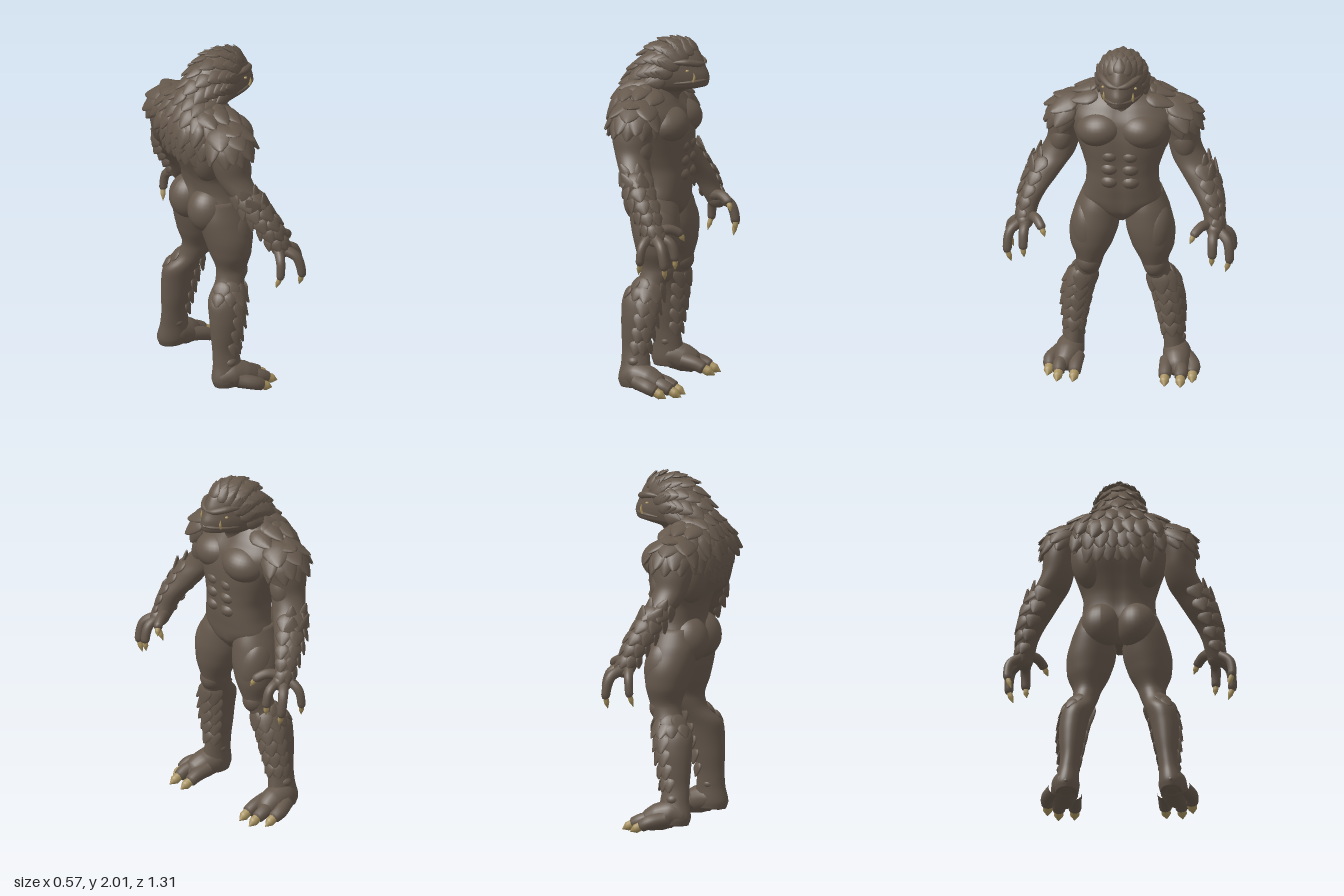
import * as THREE from 'three';
import { mergeVertices, mergeGeometries } from 'three/addons/utils/BufferGeometryUtils.js';

const V = (x, y, z) => new THREE.Vector3(x, y, z);

// Smooth body part from horizontal rings, top to bottom: [y, centre x, centre z, radius x, radius z]
function loft(rows, shape = (a) => [Math.cos(a), Math.sin(a)], n = 40) {
  const mid = new THREE.CatmullRomCurve3(rows.map((r) => V(r[1], r[0], r[2])));
  const rad = new THREE.CatmullRomCurve3(rows.map((r) => V(r[3], r[4], 0)));
  const steps = (rows.length - 1) * 5, pos = [], idx = [];
  for (let i = 0; i <= steps; i++) {
    const c = mid.getPoint(i / steps), r = rad.getPoint(i / steps);
    for (let j = 0; j < n; j++) {
      const [u, w] = shape((j / n) * Math.PI * 2);
      pos.push(c.x + u * r.x, Math.max(0, c.y), c.z + w * r.y);
    }
  }
  const top = pos.length / 3, a = rows[0], b = rows[rows.length - 1];
  pos.push(a[1], a[0], a[2], b[1], b[0], b[2]);
  for (let j = 0; j < n; j++) {
    const k = (j + 1) % n;
    for (let i = 0; i < steps; i++) {
      const p = i * n, q = p + n;
      idx.push(p + j, p + k, q + j, p + k, q + k, q + j);
    }
    idx.push(top, k, j, top + 1, steps * n + j, steps * n + k);
  }
  const g = new THREE.BufferGeometry();
  g.setAttribute('position', new THREE.Float32BufferAttribute(pos, 3));
  g.setIndex(idx);
  g.computeVertexNormals();
  return g;
}

// Tapering tube through points [x, y, z, radius]
function taper(pts, seg = 16, n = 12) {
  const curve = new THREE.CatmullRomCurve3(pts.map((p) => V(p[0], p[1], p[2])));
  const g = new THREE.TubeGeometry(curve, seg, 1, n);
  const p = g.attributes.position, v = V();
  for (let i = 0; i < p.count; i++) {
    const u = Math.floor(i / (n + 1)) / seg, c = curve.getPointAt(u);
    const t = curve.getUtoTmapping(u) * (pts.length - 1), k = Math.min(pts.length - 2, Math.floor(t));
    v.fromBufferAttribute(p, i).sub(c).multiplyScalar(THREE.MathUtils.lerp(pts[k][3], pts[k + 1][3], t - k)).add(c);
    p.setXYZ(i, v.x, Math.max(0, v.y), v.z);
  }
  g.deleteAttribute('uv');
  g.deleteAttribute('normal');
  const m = mergeVertices(g, 1e-5);
  m.computeVertexNormals();
  return m;
}

function blob(x, y, z, rx, ry, rz, tilt = 0) {
  const g = new THREE.SphereGeometry(1, 28, 18).scale(rx, ry, rz).rotateX(tilt).translate(x, y, z);
  g.deleteAttribute('uv');
  return g;
}

// Shield-shaped scale: rounded root at +y, pointed tip at -y, ridge along the middle
function shield() {
  const g = new THREE.SphereGeometry(1, 12, 8);
  g.deleteAttribute('uv');
  const p = g.attributes.position;
  for (let i = 0; i < p.count; i++) {
    const x = p.getX(i), y = p.getY(i), z = p.getZ(i), k = y < 0 ? 1 + y * 0.45 : 1;
    p.setXYZ(i, x * k, y < 0 ? y * 1.3 : y, z * k + 0.35 * (1 - Math.abs(x)) * (z > 0 ? 1 : 0));
  }
  g.computeVertexNormals();
  return g;
}

function mirrored(geo) {
  const g = geo.clone().scale(1, 1, -1), ix = g.index;
  for (let i = 0; i < ix.count; i += 3) {
    const t = ix.getX(i);
    ix.setX(i, ix.getX(i + 1));
    ix.setX(i + 1, t);
  }
  g.computeVertexNormals();
  return g;
}

export function createModel() {
  const hide = new THREE.MeshStandardMaterial({ color: 0x65584c });
  hide.name = 'brown hide';
  const horn = new THREE.MeshStandardMaterial({ color: 0xa8925f });
  horn.name = 'tan horn';
  const root = new THREE.Group();
  root.name = 'scaledBiped';
  const add = (name, geo, mat = hide) => {
    const m = new THREE.Mesh(geo, mat);
    m.name = name;
    root.add(m);
    return m;
  };
  const pair = (name, geo, mat) => {
    add('right' + name, mirrored(geo), mat);
    return add('left' + name, geo, mat);
  };

  // Torso with grooves along spine and chest, as [y, back, front, half width]
  const stack = (rows) => rows.map(([y, b, f, w]) => [y, (b + f) / 2, 0, (f - b) / 2, w]);
  const torso = add('torso', loft(stack([
    [1.77, -0.17, 0.04, 0.09], [1.72, -0.205, 0.07, 0.19], [1.66, -0.235, 0.11, 0.27], [1.58, -0.245, 0.16, 0.3],
    [1.5, -0.235, 0.18, 0.285], [1.42, -0.21, 0.185, 0.255], [1.34, -0.17, 0.18, 0.225], [1.26, -0.135, 0.178, 0.203],
    [1.18, -0.12, 0.175, 0.208], [1.1, -0.13, 0.165, 0.225], [1.03, -0.1, 0.15, 0.15], [0.965, -0.04, 0.1, 0.025],
  ]), (a) => {
    const c = Math.cos(a), s = Math.sin(a), k = 1 - 0.07 * Math.exp(-s * s * 60);
    return [Math.sign(c) * Math.abs(c) ** 0.85 * k, Math.sign(s) * Math.abs(s) ** 0.9];
  }, 56));

  // Head and thick neck, narrowing to a blunt muzzle
  const head = add('head', loft(stack([
    [1.985, 0.05, 0.13, 0.015], [1.968, -0.01, 0.185, 0.06], [1.935, -0.06, 0.227, 0.095], [1.89, -0.1, 0.252, 0.12],
    [1.845, -0.135, 0.268, 0.132], [1.805, -0.165, 0.286, 0.136], [1.77, -0.185, 0.289, 0.133], [1.738, -0.2, 0.278, 0.125],
    [1.722, -0.207, 0.23, 0.12], [1.7, -0.212, 0.14, 0.125], [1.66, -0.22, 0.11, 0.14], [1.6, -0.23, 0.11, 0.17],
  ]), (a) => [Math.cos(a), Math.sin(a) * (1 - 0.3 * Math.max(0, Math.cos(a)))], 48));

  // Arms and legs
  const arm = pair('Arm', loft([
    [1.66, -0.05, 0.25, 0.08, 0.07], [1.62, -0.05, 0.285, 0.11, 0.1], [1.56, -0.05, 0.315, 0.125, 0.097],
    [1.48, -0.055, 0.335, 0.115, 0.092], [1.4, -0.05, 0.345, 0.1, 0.092], [1.32, -0.025, 0.38, 0.09, 0.1],
    [1.26, 0.01, 0.425, 0.085, 0.1], [1.19, 0.04, 0.465, 0.085, 0.09], [1.12, 0.08, 0.5, 0.078, 0.072],
    [1.05, 0.11, 0.52, 0.065, 0.056], [0.99, 0.135, 0.53, 0.058, 0.05], [0.94, 0.15, 0.545, 0.05, 0.045], [0.92, 0.155, 0.55, 0.03, 0.03],
  ]));
  const leg = pair('Leg', loft([
    [1.14, 0.0, 0.13, 0.11, 0.09], [1.03, 0.01, 0.14, 0.142, 0.125], [0.92, 0.028, 0.158, 0.138, 0.138],
    [0.81, 0.04, 0.174, 0.12, 0.12], [0.71, 0.042, 0.183, 0.09, 0.077], [0.64, 0.022, 0.2, 0.086, 0.073],
    [0.55, -0.028, 0.24, 0.108, 0.083], [0.45, -0.038, 0.26, 0.103, 0.078], [0.35, -0.048, 0.268, 0.09, 0.068],
    [0.25, -0.053, 0.275, 0.08, 0.056], [0.17, -0.05, 0.285, 0.085, 0.06], [0.09, -0.05, 0.295, 0.098, 0.07], [0.045, -0.05, 0.295, 0.085, 0.06],
  ]));

  // Muscle masses, mostly sunk into the body
  [['Pectoral', 0.072, 1.525, 0.118, 0.132, 0.108, 0.14, 0.15], ['Glute', -0.055, 1.07, 0.1, 0.125, 0.135, 0.115, 0],
    ['Lat', -0.1, 1.46, 0.18, 0.1, 0.17, 0.09, 0.15], ['Biceps', 0.0, 1.42, 0.345, 0.065, 0.1, 0.065, -0.25],
    ['OuterThigh', 0.05, 0.89, 0.19, 0.115, 0.18, 0.098, 0.1], ['Kneecap', 0.07, 0.69, 0.188, 0.065, 0.07, 0.065, 0],
    ['Ankle', -0.05, 0.19, 0.285, 0.05, 0.04, 0.066, 0],
    ['Hand', 0.155, 0.965, 0.54, 0.06, 0.055, 0.05, 0]].forEach(([name, ...b]) => pair(name, blob(...b)));
  [1.39, 1.31, 1.23].forEach((y) => pair('Abdominal', blob(0.1, y, 0.058, 0.09, 0.055, 0.07)));

  // Fingers and toes with claws: [base, knuckle, tip], radius, claw point, claw girth
  const digit = (name, pts, r, end, girth) => {
    const last = pts[2], toward = (k) => last.map((v, i) => v + (end[i] - v) * k);
    pair(name, taper([...pts.map((p, i) => [...p, r * (1.1 - i * 0.1)]), [...toward(0.25), 0.004]]));
    pair(name + 'Claw', taper([[...last, r * girth], [...toward(0.5), r * girth], [...end, 0.001]], 8, 10), horn);
  };
  digit('Thumb', [[0.14, 0.99, 0.51], [0.21, 1.0, 0.465], [0.262, 0.97, 0.43]], 0.028, [0.28, 0.925, 0.41], 0.55);
  digit('InnerFinger', [[0.16, 0.97, 0.53], [0.24, 0.935, 0.535], [0.268, 0.845, 0.535]], 0.028, [0.265, 0.785, 0.53], 0.55);
  digit('MiddleFinger', [[0.16, 0.96, 0.56], [0.21, 0.92, 0.615], [0.235, 0.81, 0.628]], 0.028, [0.23, 0.74, 0.605], 0.55);
  digit('OuterFinger', [[0.12, 0.97, 0.56], [0.1, 0.92, 0.62], [0.09, 0.83, 0.632]], 0.026, [0.075, 0.76, 0.61], 0.55);

  // Feet: sole, three spread toes and claws
  pair('Foot', taper([[-0.15, 0.08, 0.295, 0.004], [-0.12, 0.085, 0.295, 0.05], [-0.04, 0.105, 0.3, 0.08], [0.04, 0.085, 0.31, 0.078],
    [0.1, 0.062, 0.32, 0.06], [0.15, 0.045, 0.325, 0.004]], 24, 20));
  [['InnerToe', 0.255, 0.235], ['MiddleToe', 0.345, 0.24], ['SmallToe', 0.405, 0.17]].forEach(([name, z, x]) =>
    digit(name, [[x - 0.19, 0.085, 0.3 + (z - 0.32) * 0.7], [x - 0.11, 0.066, z], [x - 0.065, 0.045, z]], 0.039, [x + 0.002, 0.01, z + 0.005], 0.68));

  // Place scales by casting rays at the body; each lies on the surface with its tip along "down"
  root.updateMatrixWorld(true);
  const ray = new THREE.Raycaster(), unit = shield();
  function scaleAt(list, targets, aim, dir, down, w, l, lift, t) {
    ray.set(aim.clone().addScaledVector(dir, 1), dir.clone().negate());
    const hit = ray.intersectObjects(targets, false)[0];
    if (!hit) return;
    const n = hit.face.normal.clone().lerp(dir, 0.4).normalize();
    const tip = down.clone().addScaledVector(n, -down.dot(n)).normalize().addScaledVector(n, lift).normalize();
    const side = tip.clone().negate().cross(n).normalize(), up = tip.clone().negate();
    const m = new THREE.Matrix4().makeBasis(side, up, side.clone().cross(up)).scale(V(w, l, t));
    list.push(unit.clone().applyMatrix4(m.setPosition(hit.point)));
  }

  // Broad scales over the crown, nape and upper back
  const hood = [];
  for (let i = 0; i < 13; i++) {
    const t = i / 12, phi = THREE.MathUtils.degToRad(46 + 142 * t), n = 3 + (i % 2) * 0.5;
    const aim = V(0.1 - 0.14 * t, 1.86 - 0.36 * t, 0), down = V(-Math.sin(phi), Math.cos(phi), 0);
    for (let j = -n; j <= n; j++) {
      const a = (j / 3.5) * (1.25 - 0.25 * t);
      const dir = V(Math.cos(phi) * Math.cos(a), Math.sin(phi) * Math.cos(a), Math.sin(a));
      scaleAt(hood, [head, torso], aim, dir, down, 0.036 + 0.02 * t, 0.042 + 0.016 * t, 0.26, 0.012 + 0.004 * t);
    }
  }
  add('hoodScales', mergeGeometries(hood));

  // Shoulder plates in tiers sloping off the neck, with blades behind
  const pads = [];
  [[88, 0.085, 0.085, 2, 0.0], [52, 0.08, 0.08, 3, 0.1], [24, 0.065, 0.075, 4, 0.2], [3, 0.05, 0.06, 5, 0.25]].forEach(([el, w, l, n, lift]) => {
    for (let j = 0; j < n; j++) {
      const az = ((j + 0.5) / n - 0.5) * 3.4, e = THREE.MathUtils.degToRad(el);
      const dir = V(Math.sin(az) * Math.cos(e), Math.sin(e), Math.cos(az) * Math.cos(e));
      scaleAt(pads, [arm, torso], V(-0.05, 1.545, 0.29), dir, V(0, -1, 0.4), w, l, lift, 0.02);
    }
  });
  [-0.13, -0.05, 0.03].forEach((x) => scaleAt(pads, [arm, torso], V(x, 1.5, 0.2), V(0, 1, 0), V(0, -0.4, 1), 0.06, 0.075, 0.05, 0.02));
  [[1.63, 0.2], [1.55, 0.23], [1.6, 0.12]].forEach(([y, z]) =>
    scaleAt(pads, [torso], V(-0.1, y, z), V(-1, 0, 0), V(0, -1, 0.2), 0.055, 0.065, 0.4, 0.024));
  pair('ShoulderPlates', mergeGeometries(pads));

  // Limb guards: overlapping rows with tips pointing from the first end to the second
  function guard(name, limb, from, to, rows, angles, w, l, lift) {
    const list = [], down = V(...to).sub(V(...from));
    for (let i = 0; i < rows; i++) {
      const t = i / (rows - 1), c = V(...from).lerp(V(...to), t), k = 1 - 0.25 * t;
      angles.forEach((a) => scaleAt(list, [limb], c, V(Math.sin(a), 0, Math.cos(a)), down, w * k, l * k, lift, 0.012));
    }
    pair(name, mergeGeometries(list));
  }
  guard('ForearmScales', arm, [0.0, 1.28, 0.415], [0.13, 1.01, 0.525], 5, [-1.4, -0.6, 0.2, 1.0], 0.05, 0.048, 0.36);
  guard('ElbowPlates', arm, [0.03, 1.25, 0.435], [0.0, 1.31, 0.395], 2, [-0.5, 0.4], 0.045, 0.06, 0.25);
  guard('ShinScales', leg, [0.0, 0.59, 0.22], [-0.045, 0.28, 0.275], 5, [0.25, 0.9, 1.55, 2.2], 0.054, 0.056, 0.36);
  guard('CalfBand', leg, [0.01, 0.62, 0.21], [0.0, 0.58, 0.22], 2, [-1.1, -0.4], 0.055, 0.05, 0.15);

  // Face: brow ridge, lips, eye and tusk
  pair('Brow', taper([[0.262, 1.862, 0.0, 0.008], [0.243, 1.866, 0.045, 0.018], [0.185, 1.88, 0.092, 0.02], [0.1, 1.88, 0.122, 0.006]]));
  pair('Lip', taper([[0.286, 1.775, 0.0, 0.008], [0.262, 1.772, 0.04, 0.01], [0.2, 1.765, 0.084, 0.01], [0.12, 1.76, 0.114, 0.004]]));
  pair('Eye', blob(0.19, 1.832, 0.092, 0.01, 0.007, 0.009), horn);
  pair('Tusk', taper([[0.222, 1.768, 0.08, 0.007], [0.23, 1.795, 0.083, 0.007], [0.226, 1.822, 0.083, 0.001]], 8, 8), horn);
  return root;
}
